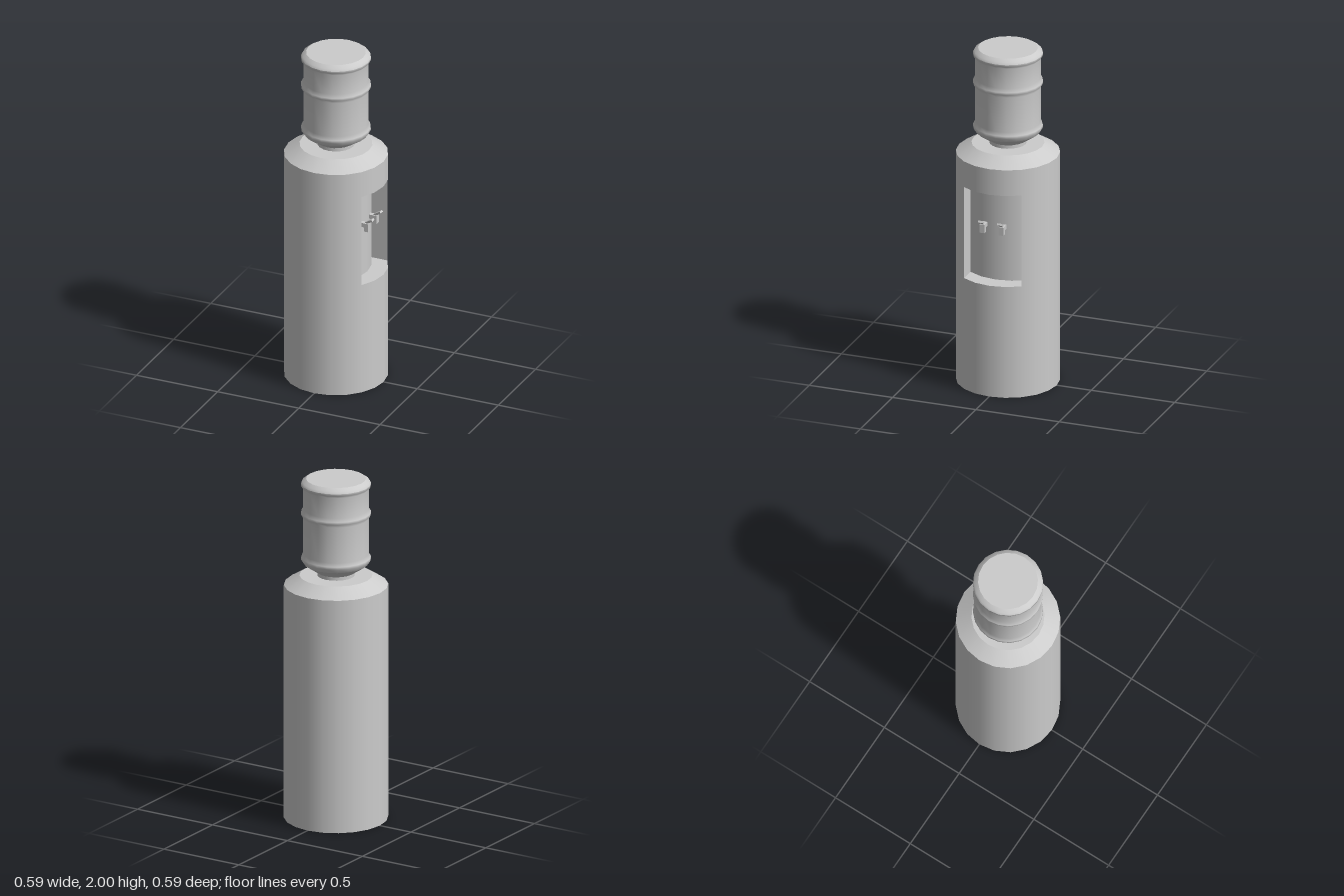
import * as THREE from 'three';

const SIDES = 20, R = 0.293, STEP = (Math.PI * 2) / SIDES;
const NICHE_LOW = 0.67, NICHE_HIGH = 1.22, DEPTH = 0.1;
const EDGE_X = R * Math.cos(2 * STEP), EDGE_Z = R * Math.sin(2 * STEP);

export function createModel() {
  const model = new THREE.Group();
  const material = new THREE.MeshStandardMaterial({ color: 0xcccccc });

  const add = (name, geometry, parent = model) => {
    const mesh = new THREE.Mesh(geometry, material);
    mesh.name = name;
    parent.add(mesh);
    return mesh;
  };
  // Turned surface; each call is smooth inside and creased at its ends
  const turn = (name, profile, parent, start = 0, count = SIDES) =>
    add(name, new THREE.LatheGeometry(
      profile.map(([r, y]) => new THREE.Vector2(r, y)), count, start, count * STEP), parent);

  // Cabinet shell, open over four sides around +x
  const cabinet = new THREE.Group();
  cabinet.name = 'cabinet';
  model.add(cabinet);
  turn('cabinetBottom', [[0, 0], [R, 0]], cabinet);
  turn('lowerCabinet', [[R, 0], [R, NICHE_LOW]], cabinet);
  turn('middleCabinet', [[R, NICHE_LOW], [R, NICHE_HIGH]], cabinet, 7 * STEP, 16);
  turn('upperCabinet', [[R, NICHE_HIGH], [R, 1.375]], cabinet);
  turn('shoulder', [[R, 1.375], [0.205, 1.43]], cabinet);
  turn('cabinetTop', [[0.205, 1.43], [0, 1.43]], cabinet);

  // Dispensing niche: the outer curve pushed inwards
  const niche = new THREE.Group();
  niche.name = 'niche';
  model.add(niche);
  turn('nicheBack', [[R, NICHE_LOW], [R, NICHE_HIGH]], niche, 3 * STEP, 4).position.x = -DEPTH;
  const arc = (shift) => [-2, -1, 0, 1, 2].map((i) =>
    new THREE.Vector2(R * Math.cos(i * STEP) - shift, R * Math.sin(i * STEP)));
  const ledge = new THREE.Shape([...arc(0), ...arc(DEPTH).reverse()]);
  add('nicheFloor', new THREE.ShapeGeometry(ledge).rotateX(-Math.PI / 2), niche).position.y = NICHE_LOW;
  add('nicheCeiling', new THREE.ShapeGeometry(ledge).rotateX(Math.PI / 2), niche).position.y = NICHE_HIGH;
  for (const side of [-1, 1]) {
    const wall = add('nicheSide', new THREE.PlaneGeometry(DEPTH, NICHE_HIGH - NICHE_LOW), niche);
    wall.position.set(EDGE_X - DEPTH / 2, (NICHE_LOW + NICHE_HIGH) / 2, side * EDGE_Z);
    if (side > 0) wall.rotation.y = Math.PI;
  }

  // Taps: arm, spout and a flared lever tilted outwards
  const lever = new THREE.BoxGeometry(0.012, 0.05, 0.03);
  const p = lever.attributes.position;
  for (let i = 0; i < p.count; i++) if (p.getY(i) < 0) p.setZ(i, p.getZ(i) * 0.45);
  lever.computeVertexNormals();
  for (const z of [0.066, -0.048]) {
    const tap = new THREE.Group();
    tap.name = 'tap';
    tap.position.z = z;
    model.add(tap);
    add('tapArm', new THREE.BoxGeometry(0.06, 0.025, 0.026), tap).position.set(0.195, 0.995, 0);
    add('tapSpout', new THREE.BoxGeometry(0.026, 0.05, 0.03), tap).position.set(0.222, 0.983, 0);
    const handle = add('tapLever', lever, tap);
    handle.position.set(0.236, 1.02, 0);
    handle.rotation.z = -1.0;
  }

  // Water bottle, upside down in the cabinet top
  const bottle = new THREE.Group();
  bottle.name = 'bottle';
  model.add(bottle);
  turn('bottleNeck', [[0.105, 1.43], [0.105, 1.45]], bottle);
  turn('bottleFunnel', [[0.105, 1.45], [0.18, 1.5]], bottle);
  turn('bottleWall', [
    [0.18, 1.5], [0.197, 1.525], [0.195, 1.54], [0.184, 1.56],
    [0.184, 1.77], [0.197, 1.79], [0.197, 1.805], [0.184, 1.825],
    [0.184, 1.945], [0.197, 1.96], [0.197, 1.972],
  ], bottle);
  turn('bottleRim', [[0.197, 1.972], [0.19, 1.985], [0.168, 2]], bottle);
  turn('bottleTop', [[0.168, 2], [0, 2]], bottle);

  return model;
}
